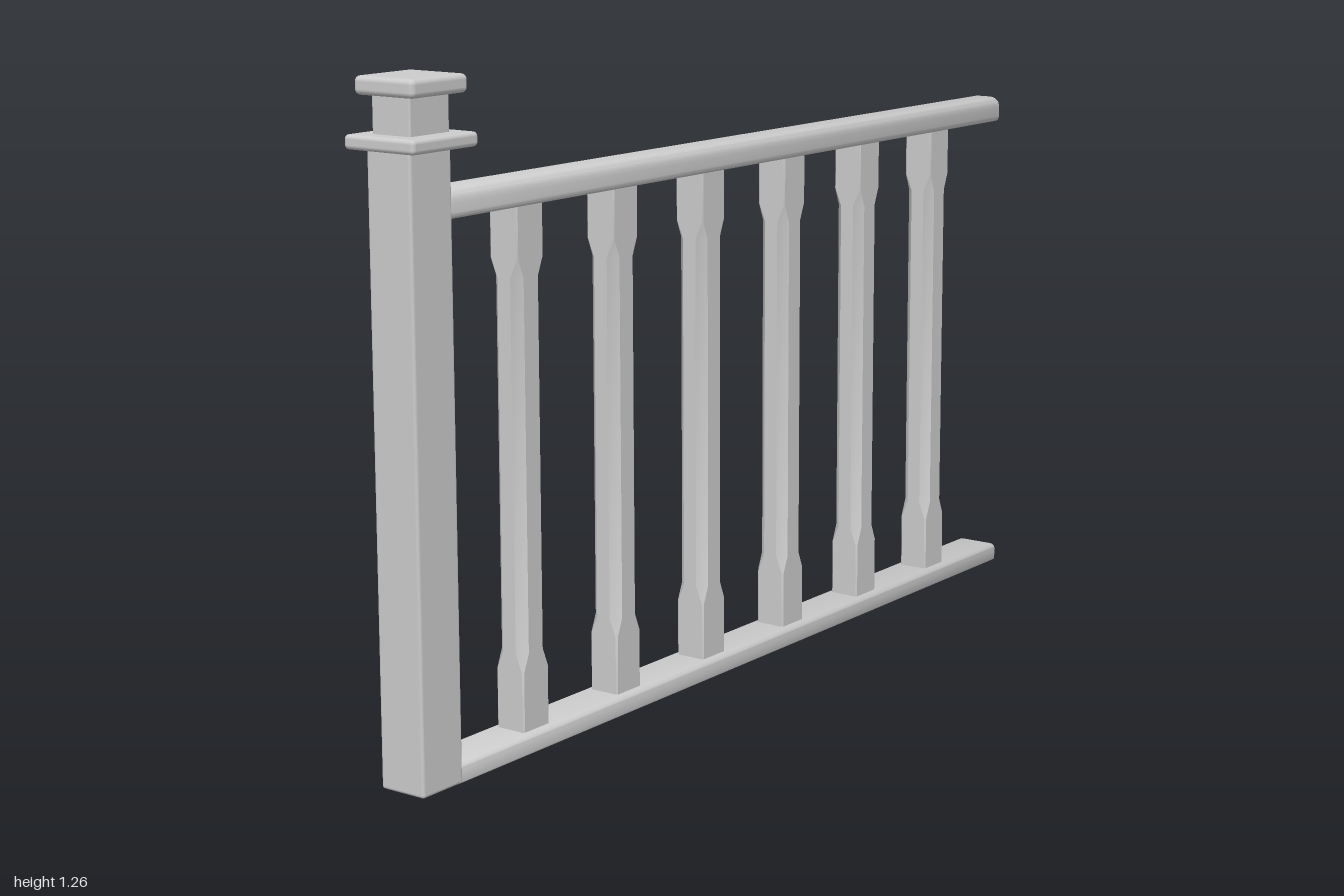
import * as THREE from 'three';
import { RoundedBoxGeometry } from 'three/addons/geometries/RoundedBoxGeometry.js';
import { toCreasedNormals } from 'three/addons/utils/BufferGeometryUtils.js';

const material = new THREE.MeshStandardMaterial({ color: 0xcccccc });

function add(parent, name, geometry) {
  const mesh = new THREE.Mesh(geometry, material);
  mesh.name = name;
  parent.add(mesh);
  return mesh;
}

// Softened block given by its limits on each axis
function block(parent, name, [x0, x1], [y0, y1], [z0, z1], radius) {
  const mesh = add(parent, name, new RoundedBoxGeometry(x1 - x0, y1 - y0, z1 - z0, 3, radius));
  mesh.position.set((x0 + x1) / 2, (y0 + y1) / 2, (z0 + z1) / 2);
}

// Rail along x: flat underside, rounded shoulders on top
function railGeometry(x0, x1, width, height, shoulder, foot) {
  const w = width / 2, bevel = 0.006;
  const s = new THREE.Shape();
  s.moveTo(-w + foot, 0);
  s.lineTo(w - foot, 0);
  s.quadraticCurveTo(w, 0, w, foot);
  s.lineTo(w, height - shoulder);
  s.quadraticCurveTo(w, height, w - shoulder, height);
  s.lineTo(-w + shoulder, height);
  s.quadraticCurveTo(-w, height, -w, height - shoulder);
  s.lineTo(-w, foot);
  s.quadraticCurveTo(-w, 0, -w + foot, 0);
  const g = new THREE.ExtrudeGeometry(s, {
    depth: x1 - x0 - 2 * bevel, curveSegments: 6,
    bevelEnabled: true, bevelThickness: bevel, bevelSize: bevel, bevelOffset: -bevel, bevelSegments: 2,
  });
  g.rotateY(Math.PI / 2);
  g.translate(x0 + bevel, 0, 0);
  return toCreasedNormals(g, 0.6);
}

// Baluster: square end blocks, corners chamfered between them
function balusterGeometry(width, depth, levels) {
  const a = width / 2, b = depth / 2, positions = [], index = [];
  for (const [y, c] of levels) {
    const ring = [
      [a, b - c], [a, c - b], [a - c, -b], [c - a, -b],
      [-a, c - b], [-a, b - c], [c - a, b], [a - c, b],
    ];
    for (const [x, z] of ring) positions.push(x, y, z);
  }
  for (let l = 0; l < levels.length - 1; l++) {
    for (let i = 0; i < 8; i++) {
      const p = l * 8 + i, q = l * 8 + (i + 1) % 8;
      index.push(p, q, q + 8, p, q + 8, p + 8);
    }
  }
  const top = (levels.length - 1) * 8;
  for (let i = 1; i < 7; i++) {
    index.push(0, i + 1, i);
    index.push(top, top + i, top + i + 1);
  }
  const g = new THREE.BufferGeometry();
  g.setAttribute('position', new THREE.Float32BufferAttribute(positions, 3));
  g.setIndex(index);
  return toCreasedNormals(g, 0.5);
}

export function createModel() {
  const model = new THREE.Group();
  model.name = 'railing';

  // Newel post with collar, neck and cap
  const newel = new THREE.Group();
  newel.name = 'newelPost';
  model.add(newel);
  block(newel, 'postShaft', [-0.97, -0.864], [0, 1.145], [-0.055, 0.044], 0.006);
  block(newel, 'postCollar', [-1, -0.832], [1.138, 1.164], [-0.079, 0.079], 0.008);
  block(newel, 'postNeck', [-0.967, -0.866], [1.15, 1.245], [-0.043, 0.043], 0.004);
  block(newel, 'postCap', [-0.986, -0.842], [1.23, 1.263], [-0.067, 0.067], 0.01);

  // Handrail and bottom rail
  const handrail = add(model, 'handrail', railGeometry(-0.88, 1, 0.078, 0.054, 0.025, 0.012));
  handrail.position.set(0, 1.01, -0.005);
  const bottomRail = add(model, 'bottomRail', railGeometry(-0.88, 1, 0.096, 0.037, 0.013, 0.004));
  bottomRail.position.set(0, 0, -0.005);

  // Balusters
  const baluster = balusterGeometry(0.074, 0.064, [
    [0.03, 0.003], [0.15, 0.003], [0.185, 0.017], [0.88, 0.017], [0.915, 0.003], [1.02, 0.003],
  ]);
  for (let i = 0; i < 6; i++) {
    const mesh = add(model, 'baluster' + (i + 1), baluster);
    mesh.position.set(-0.636 + i * 0.2785, 0, -0.006);
  }
  return model;
}
